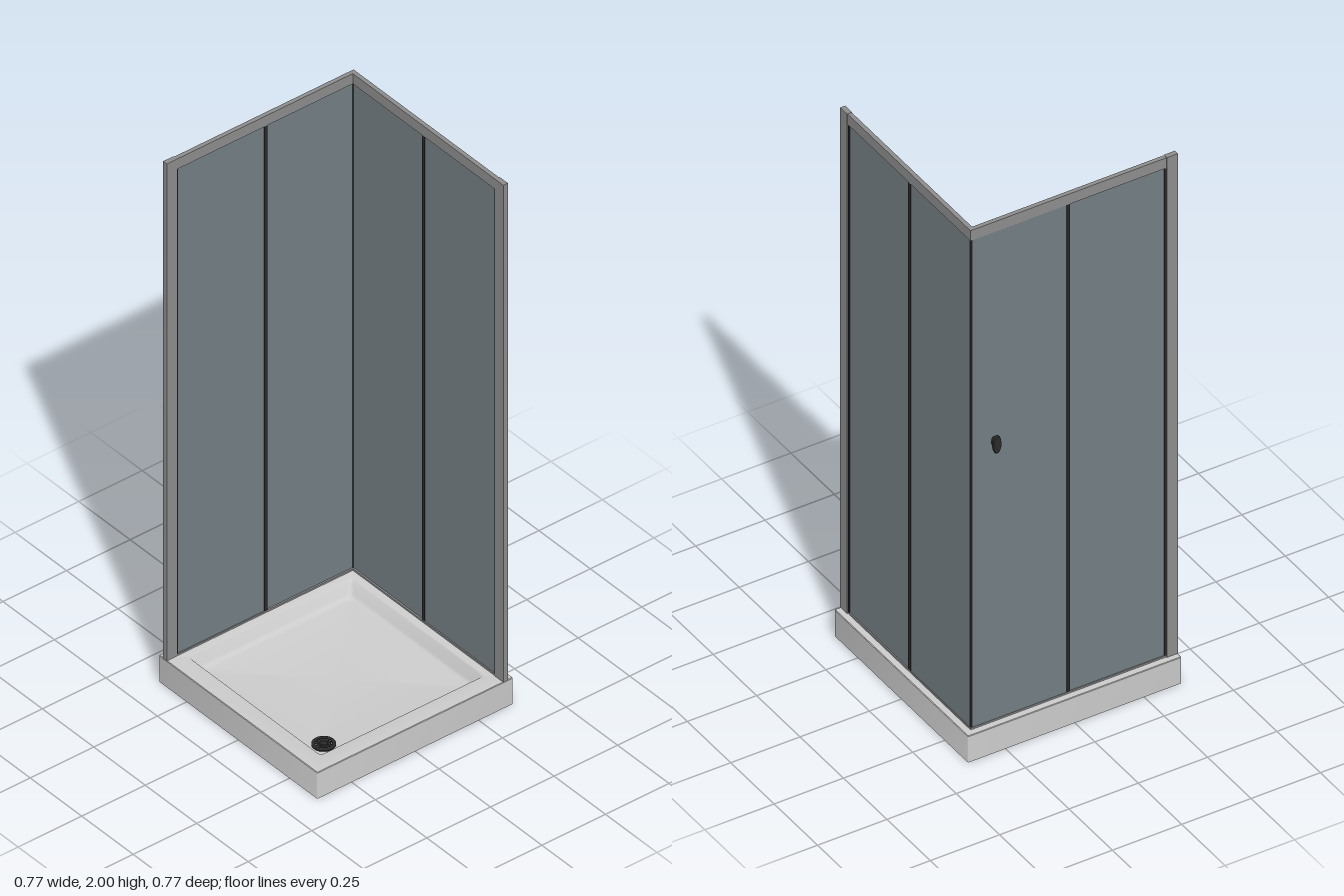
import * as THREE from 'three';
import { toCreasedNormals } from 'three/addons/utils/BufferGeometryUtils.js';

const mat = (color) => new THREE.MeshStandardMaterial({ color });
const trayMat = mat(0xcccccc), frameMat = mat(0x8c8c8c), glassMat = mat(0x727d82), darkMat = mat(0x2a2a2a);

function addMesh(parent, name, geometry, material, x = 0, y = 0, z = 0) {
  const m = new THREE.Mesh(geometry, material);
  m.name = name;
  m.position.set(x, y, z);
  parent.add(m);
  return m;
}

// One rounded square outline, as [x, z] points
function roundedSquare(half, radius, steps = 6) {
  const pts = [], c = half - radius;
  for (let q = 0; q < 4; q++) {
    const mid = (q + 0.5) * Math.PI / 2;
    const cx = Math.sign(Math.cos(mid)) * c, cz = Math.sign(Math.sin(mid)) * c;
    for (let i = 0; i <= steps; i++) {
      const a = (q + i / steps) * Math.PI / 2;
      pts.push([cx + radius * Math.cos(a), cz + radius * Math.sin(a)]);
    }
  }
  return pts;
}

// Closed skin through the square sections [half size, corner radius, y]
function loftSquares(sections) {
  const pos = [], idx = [], n = roundedSquare(1, 0.1).length;
  for (const [half, radius, y] of sections)
    for (const [x, z] of roundedSquare(half, radius)) pos.push(x, y, z);
  for (let i = 0; i < sections.length - 1; i++)
    for (let j = 0; j < n; j++) {
      const k = (j + 1) % n;
      const a = i * n + j, b = i * n + k, c = a + n, d = b + n;
      if (sections[i][0] > 0) idx.push(a, c, b);
      if (sections[i + 1][0] > 0) idx.push(b, c, d);
    }
  const g = new THREE.BufferGeometry();
  g.setAttribute('position', new THREE.Float32BufferAttribute(pos, 3));
  g.setIndex(idx);
  return toCreasedNormals(g, 0.6);
}

// Perforated drain cover
function drainCover() {
  const s = new THREE.Shape().absarc(0, 0, 0.038, 0, Math.PI * 2);
  for (const [ring, r] of [[0.024, 0.0042], [0.0135, 0.002]])
    for (let i = 0; i < 12; i++) {
      const a = i * Math.PI / 6;
      s.holes.push(new THREE.Path().absarc(ring * Math.cos(a), ring * Math.sin(a), r, 0, Math.PI * 2, true));
    }
  const g = new THREE.ExtrudeGeometry(s, { depth: 0.004, bevelEnabled: false, curveSegments: 24 });
  return g.rotateX(-Math.PI / 2);
}

// One screen wall; the side wall is the back wall mirrored across the corner
function buildWall(name, side) {
  const wall = new THREE.Group();
  wall.name = name;
  const bar = (part, material, x0, x1, y0, y1, z0, z1) => {
    const w = x1 - x0, h = y1 - y0, d = z1 - z0;
    const x = (x0 + x1) / 2, y = (y0 + y1) / 2, z = (z0 + z1) / 2;
    const g = side ? new THREE.BoxGeometry(d, h, w) : new THREE.BoxGeometry(w, h, d);
    addMesh(wall, part, g, material, side ? -z : x, y, side ? -x : z);
  };
  bar('topRail', frameMat, -0.384, 0.362, 1.96, 1.999, -0.362, -0.347);
  bar('bottomRail', frameMat, -0.345, 0.36, 0.1, 0.106, -0.361, -0.347);
  bar('endPost', frameMat, -0.385, -0.345, 0.1, 2, -0.364, -0.346);
  bar('postSeal', darkMat, -0.345, -0.339, 0.106, 1.96, -0.361, -0.348);
  bar('fixedPanel', glassMat, -0.34, 0.012, 0.106, 1.96, -0.357, -0.351);
  bar('slidingPanel', glassMat, 0.004, 0.352, 0.106, 1.96, -0.359, -0.353);
  bar('middleSeal', darkMat, 0.002, 0.014, 0.106, 1.96, -0.361, -0.349);
  bar('cornerSeal', darkMat, 0.35, 0.358, 0.106, 1.96, -0.3585, -0.35);
  return wall;
}

export function createModel() {
  const model = new THREE.Group();
  model.name = 'showerCubicle';

  // Tray with a soft-edged basin
  addMesh(model, 'tray', loftSquares([
    [0, 0, 0], [0.385, 0.004, 0], [0.385, 0.004, 0.098], [0.383, 0.004, 0.1],
    [0.325, 0.014, 0.1], [0.32, 0.014, 0.098], [0.316, 0.015, 0.092], [0.304, 0.02, 0.065],
    [0.299, 0.022, 0.057], [0.292, 0.025, 0.052], [0.282, 0.025, 0.05], [0, 0, 0.05],
  ]), trayMat);

  // Drain
  addMesh(model, 'drainCover', drainCover(), darkMat, -0.237, 0.05, 0.233);
  const cap = new THREE.SphereGeometry(0.009, 20, 8, 0, Math.PI * 2, 0, Math.PI / 2).scale(1, 0.3, 1);
  addMesh(model, 'drainCap', cap, darkMat, -0.237, 0.054, 0.233);

  // Screens on the two closed sides
  model.add(buildWall('backWall', false), buildWall('sideWall', true));

  // Oval door knob with a flared grip
  const profile = [[0, 0], [0.008, 0], [0.008, 0.007], [0.009, 0.012], [0.015, 0.016], [0.0155, 0.021], [0.014, 0.024], [0, 0.025]]
    .map(([r, y]) => new THREE.Vector2(r, y));
  const knob = toCreasedNormals(new THREE.LatheGeometry(profile, 32), 0.6);
  knob.rotateX(-Math.PI / 2).scale(1, 2.2, 1);
  addMesh(model, 'doorKnob', knob, darkMat, 0.278, 1.165, -0.36);

  return model;
}
